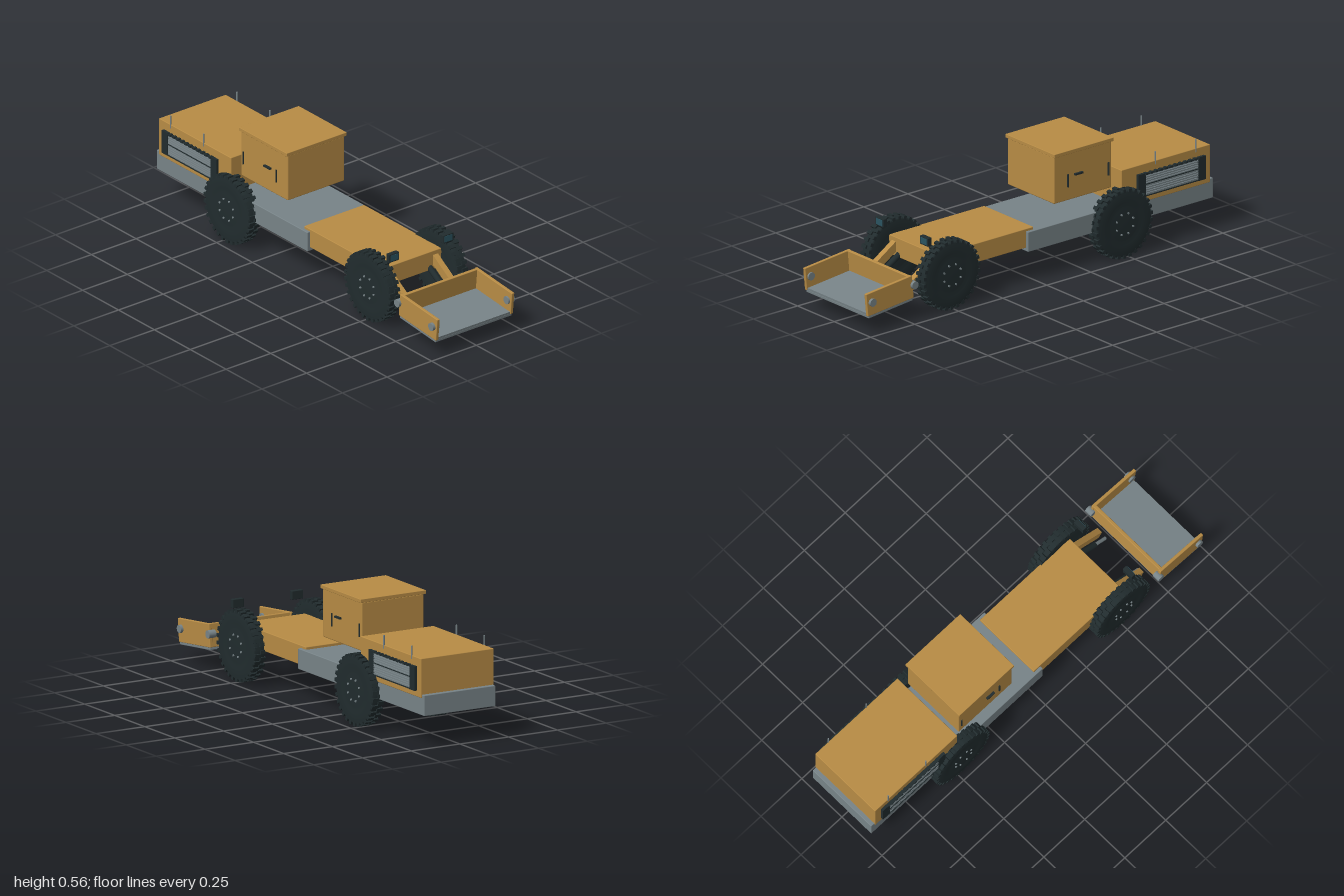
import * as THREE from 'three';
import { RoundedBoxGeometry } from 'three/addons/geometries/RoundedBoxGeometry.js';

function paint(name, color) {
  const m = new THREE.MeshStandardMaterial({ color });
  m.name = name;
  return m;
}

export function createModel() {
  const yellow = paint('ochre paint', 0xb88c45);
  const grey = paint('steel grey', 0x788488);
  const dark = paint('dark rubber', 0x212c2e);
  const glass = paint('teal lens', 0x2b5461);
  const model = new THREE.Group();

  function add(name, geometry, material, parent = model) {
    const mesh = new THREE.Mesh(geometry, material);
    mesh.name = name;
    parent.add(mesh);
    return mesh;
  }
  // Box given by its limits on each axis
  function box(name, [x0, x1], [y0, y1], [z0, z1], material, parent, bevel = 0) {
    const s = [x1 - x0, y1 - y0, z1 - z0];
    const g = bevel ? new RoundedBoxGeometry(...s, 2, bevel) : new THREE.BoxGeometry(...s);
    const mesh = add(name, g, material, parent);
    mesh.position.set((x0 + x1) / 2, (y0 + y1) / 2, (z0 + z1) / 2);
    return mesh;
  }
  // Round bar between two points
  function rod(name, a, b, r, material, parent, sides = 12) {
    const p = new THREE.Vector3(...a), q = new THREE.Vector3(...b);
    const mesh = add(name, new THREE.CylinderGeometry(r, r, p.distanceTo(q), sides), material, parent);
    mesh.position.copy(p).lerp(q, 0.5);
    mesh.quaternion.setFromUnitVectors(new THREE.Vector3(0, 1, 0), q.sub(p).normalize());
    return mesh;
  }

  // Frames and body
  box('rearChassis', [-1, 0.05], [0.147, 0.24], [-0.183, 0.183], grey, model, 0.003);
  box('frontFrame', [0.008, 0.553], [0.163, 0.252], [-0.168, 0.168], yellow, model, 0.003);
  box('engineHood', [-0.98, -0.477], [0.225, 0.402], [-0.187, 0.187], yellow, model, 0.003);
  box('cab', [-0.442, -0.117], [0.323, 0.542], [-0.159, 0.159], yellow, model, 0.005);
  box('cabRoof', [-0.447, -0.112], [0.541, 0.558], [-0.168, 0.168], yellow, model, 0.002);

  // Wheel with two staggered rows of tread lugs and a ring of bolts
  function wheel(x, side) {
    const g = new THREE.Group();
    g.name = 'wheel';
    const profile = [[0, -0.028], [0.075, -0.028], [0.08, -0.025], [0.1, -0.028], [0.146, -0.028],
      [0.154, -0.022], [0.154, 0.022], [0.146, 0.028], [0.1, 0.028], [0.08, 0.025], [0.075, 0.028], [0, 0.028]];
    const tyre = add('tyre', new THREE.LatheGeometry(profile.map(p => new THREE.Vector2(...p)), 48), dark, g);
    tyre.rotation.x = Math.PI / 2;
    const lug = new THREE.BoxGeometry(0.016, 0.017, 0.029);
    const count = 30;
    for (let row = 0; row < 2; row++) {
      for (let i = 0; i < count; i++) {
        const a = (i + row / 2) * 2 * Math.PI / count;
        const m = add('treadLug', lug, dark, g);
        m.position.set(Math.cos(a) * 0.153, Math.sin(a) * 0.153, row ? 0.014 : -0.014);
        m.rotation.z = a - Math.PI / 2;
      }
    }
    for (let i = 0; i < 8; i++) {
      const a = i * Math.PI / 4 + Math.PI / 8;
      const cx = Math.cos(a) * 0.05, cy = Math.sin(a) * 0.05;
      rod('wheelBolt', [cx, cy, 0.02], [cx, cy, 0.033], 0.005, grey, g, 6);
    }
    g.position.set(x, 0.162, side * 0.189);
    if (side < 0) g.rotation.y = Math.PI;
    model.add(g);
  }

  for (const s of [1, -1]) {
    const z = (a, b) => (s > 0 ? [a, b] : [-b, -a]);
    wheel(-0.47, s);
    wheel(0.51, s);

    // Side grille with fine slats
    box('grilleBacking', [-0.91, -0.6], [0.255, 0.358], z(0.18, 0.19), dark);
    for (const x of [-0.945, -0.605]) box('grillePost', [x, x + 0.042], [0.252, 0.362], z(0.18, 0.2), dark);
    for (let i = 0; i < 10; i++) {
      const y = 0.259 + i * 0.01;
      box('grilleSlat', [-0.905, -0.604], [y, y + 0.0075], z(0.188, 0.199), grey);
    }
    for (const y of [0.254, 0.308, 0.355]) box('grilleRail', [-0.91, -0.6], [y, y + 0.004], z(0.186, 0.202), dark);
    for (let i = 0; i < 11; i++) {
      const x = -0.895 + i * 0.028;
      box('grilleClip', [x, x + 0.014], [0.354, 0.363], z(0.186, 0.204), dark);
    }

    // Marker posts on the hood
    for (const x of [-0.9, -0.67]) rod('hoodPost', [x, 0.385, s * 0.186], [x, 0.445, s * 0.186], 0.0035, grey);

    // Cab door handles
    for (const x of [-0.425, -0.195]) rod('grabBar', [x, 0.385, s * 0.161], [x, 0.445, s * 0.161], 0.004, dark);
    box('doorHandle', [-0.275, -0.23], [0.433, 0.441], z(0.155, 0.17), dark);

    // Headlight
    box('headlightHousing', [0.595, 0.617], [0.308, 0.347], z(0.124, 0.18), dark, model, 0.002);
    box('headlightLens', [0.616, 0.619], [0.314, 0.342], z(0.13, 0.174), glass);

    // Lifting arm and hydraulic cylinder
    const arm = box('liftArm', [-0.105, 0.105], [-0.02, 0.02], [-0.014, 0.014], yellow);
    arm.position.set(0.605, 0.175, s * 0.13);
    arm.rotation.z = -0.57;
    rod('hydraulicBarrel', [0.53, 0.185, s * 0.102], [0.645, 0.112, s * 0.102], 0.014, dark);
    rod('hydraulicRod', [0.64, 0.115, s * 0.102], [0.71, 0.073, s * 0.102], 0.008, grey);
  }

  // Open bucket, tipped slightly forward
  const bucket = new THREE.Group();
  bucket.name = 'bucket';
  bucket.position.set(0.862, 0.149, 0);
  bucket.rotation.z = -0.1;
  model.add(bucket);
  box('bucketBack', [-0.128, -0.112], [-0.053, 0.053], [-0.205, 0.205], yellow, bucket, 0.003);
  box('bucketFloor', [-0.12, 0.126], [-0.052, -0.042], [-0.204, 0.204], grey, bucket);
  box('bucketLip', [-0.125, 0.126], [-0.065, -0.051], [-0.214, 0.214], grey, bucket, 0.003);
  for (const s of [1, -1]) {
    const side = box('bucketSide', [-0.131, 0.131], [-0.053, 0.053], [-0.0075, 0.0075], yellow, bucket, 0.003);
    side.position.z = s * 0.209;
    rod('bucketPin', [-0.135, 0.008, s * 0.193], [-0.135, 0.008, s * 0.229], 0.018, grey, bucket, 20);
    rod('bucketPin', [0.104, 0.008, s * 0.193], [0.104, 0.008, s * 0.229], 0.018, grey, bucket, 20);
  }
  return model;
}
